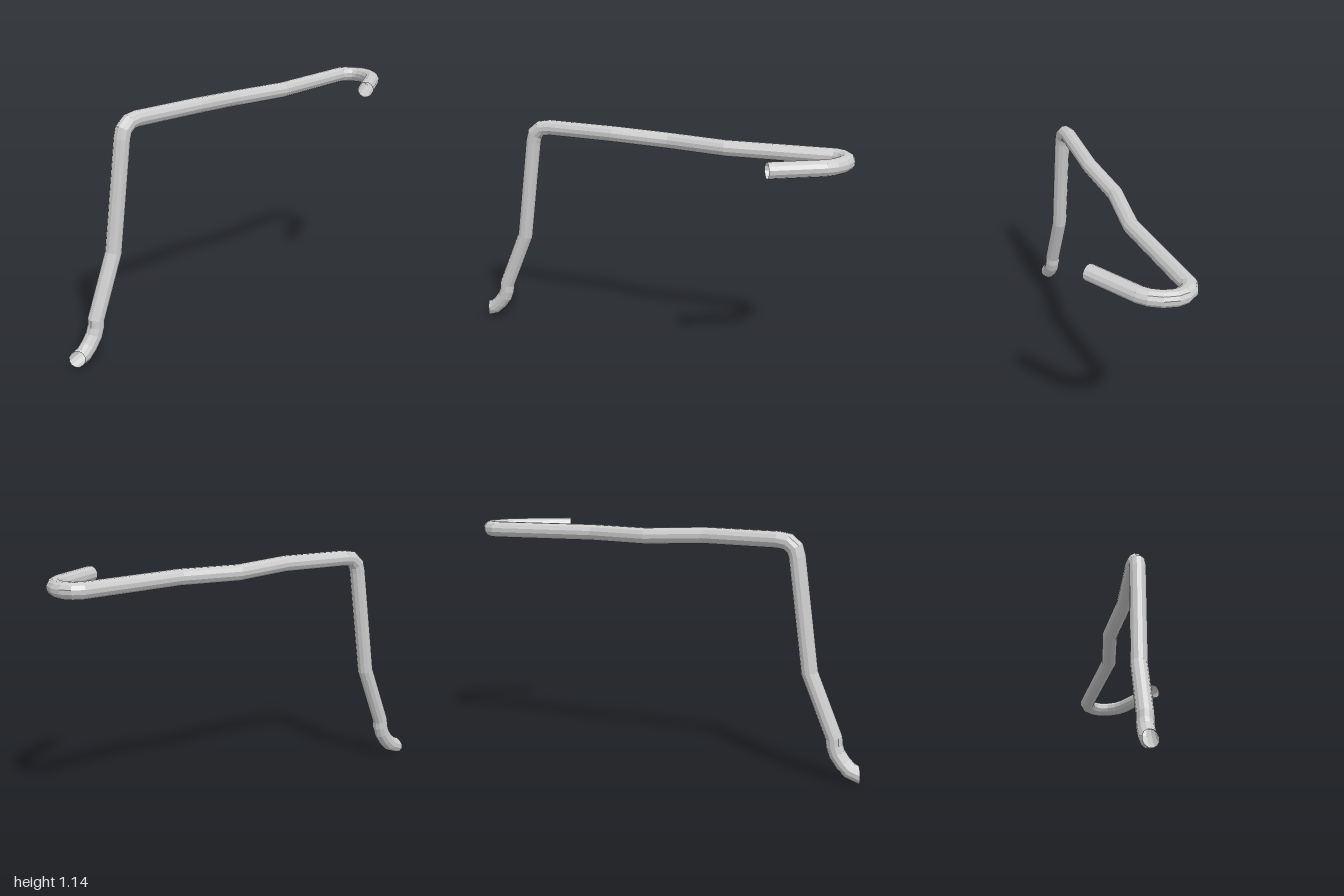
import * as THREE from 'three';

const RADIUS = 0.039;
const SIDES = 12;

// Centre line of the pipe, from the foot up the leg, along the bar and round the hook
const PATH = [
  // curved foot
  [-0.985, 0.041, -0.175], [-0.945, 0.055, -0.175], [-0.913, 0.085, -0.175],
  [-0.882, 0.128, -0.175], [-0.869, 0.165, -0.175], [-0.866, 0.2, -0.175],
  // bent leg
  [-0.745, 0.495, -0.178], [-0.674, 1.02, -0.173],
  // top elbow
  [-0.663, 1.06, -0.173], [-0.628, 1.09, -0.174], [-0.58, 1.098, -0.176],
  // wavy bar
  [-0.22, 1.102, -0.157], [0.07, 1.09, -0.179], [0.37, 1.092, -0.136],
  // hook
  [0.89, 1.092, -0.179], [0.928, 1.092, -0.163], [0.952, 1.092, -0.131], [0.96, 1.092, -0.094],
  [0.949, 1.092, -0.04], [0.922, 1.092, 0.008], [0.888, 1.092, 0.04], [0.66, 1.092, 0.174],
].map((p) => new THREE.Vector3(...p));

// Sweeps a round section along straight runs with true mitred joints
function mitredPipe(points, radius, sides, startNormal) {
  const last = points.length - 1;
  const dirs = points.slice(1).map((p, i) => p.clone().sub(points[i]).normalize());

  // First section, square to the first run
  const u = new THREE.Vector3(0, 0, 1).cross(dirs[0]).normalize();
  const v = dirs[0].clone().cross(u);
  let ring = Array.from({ length: sides }, (_, j) => {
    const a = ((j + 0.5) / sides) * Math.PI * 2;
    return points[0].clone()
      .addScaledVector(u, Math.cos(a) * radius)
      .addScaledVector(v, Math.sin(a) * radius);
  });

  // Slide the section along each run to the plane of the next joint
  const positions = [];
  points.forEach((p, i) => {
    const d = dirs[Math.max(i - 1, 0)];
    const normal = i === 0 ? startNormal
      : i === last ? d : d.clone().add(dirs[i]).normalize();
    ring = ring.map((q) => {
      const t = p.clone().sub(q).dot(normal) / d.dot(normal);
      return q.clone().addScaledVector(d, t);
    });
    ring.forEach((q) => positions.push(q.x, q.y, q.z));
  });

  const index = [];
  for (let i = 0; i < last; i++) {
    for (let j = 0; j < sides; j++) {
      const k = (j + 1) % sides;
      const a = i * sides + j, b = i * sides + k;
      index.push(a, b, a + sides, b, b + sides, a + sides);
    }
  }
  const geometry = new THREE.BufferGeometry();
  geometry.setAttribute('position', new THREE.Float32BufferAttribute(positions, 3));
  geometry.setIndex(index);
  geometry.computeVertexNormals();
  return geometry;
}

export function createModel() {
  const group = new THREE.Group();
  group.name = 'bentPipe';
  const material = new THREE.MeshStandardMaterial({
    color: 0xcccccc, flatShading: true, side: THREE.DoubleSide,
  });

  // Open-ended pipe; the foot end is cut at a slant
  const footCut = new THREE.Vector3(0.92, 0, -0.39).normalize();
  const pipe = new THREE.Mesh(mitredPipe(PATH, RADIUS, SIDES, footCut), material);
  pipe.name = 'pipe';
  group.add(pipe);
  return group;
}
